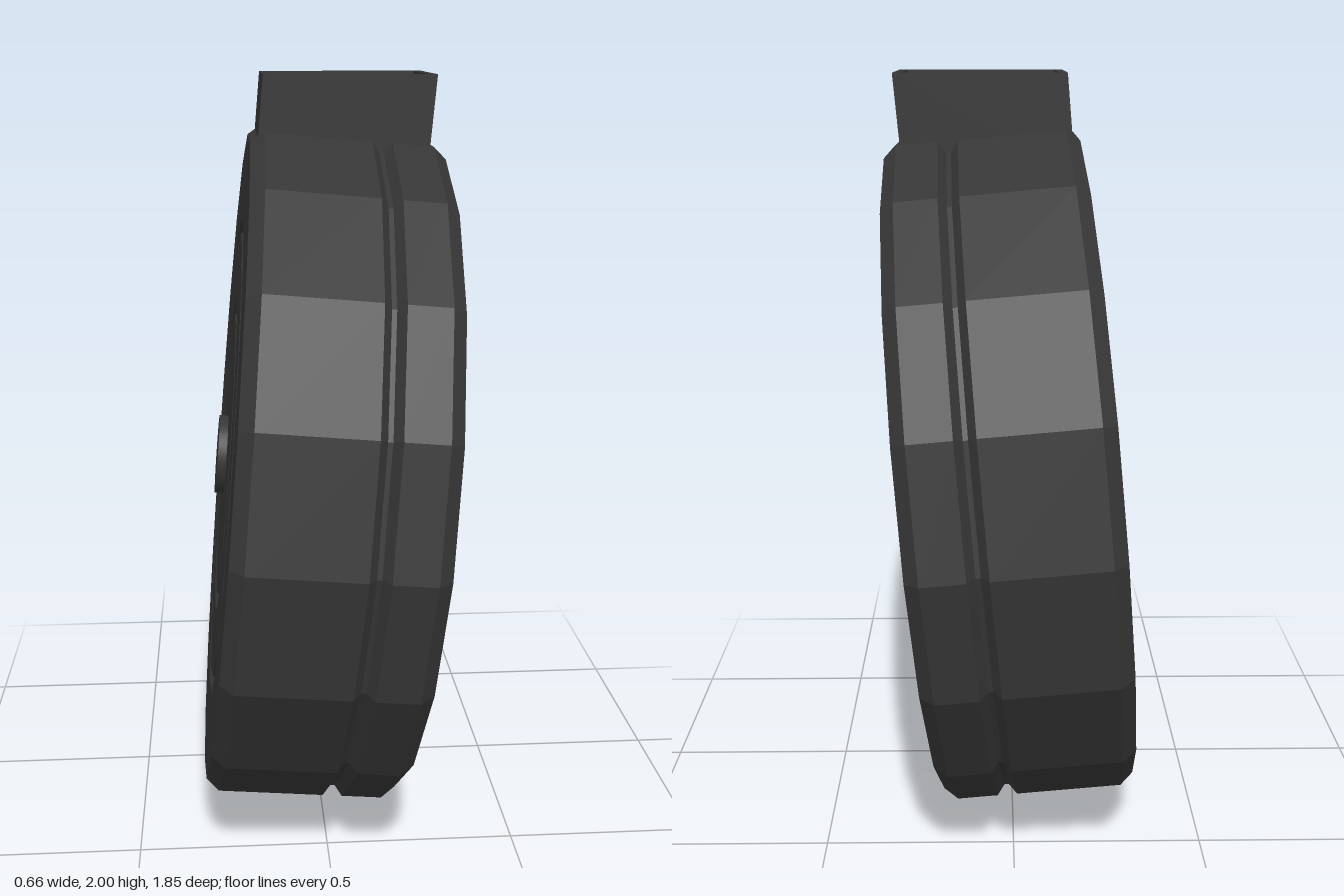
import * as THREE from 'three';

const TILT = THREE.MathUtils.degToRad(5);
const HALF = 0.254; // half thickness of the drum
const CENTRE_Y = 0.93;

export function createModel() {
  const model = new THREE.Group();
  model.name = 'drumMagazine';
  const darkMetal = new THREE.MeshStandardMaterial({ color: 0x363636 });
  darkMetal.name = 'darkMetal';

  const add = (parent, name, geometry) => {
    const mesh = new THREE.Mesh(geometry, darkMetal);
    mesh.name = name;
    parent.add(mesh);
    return mesh;
  };

  // Everything round leans together
  const drum = new THREE.Group();
  drum.name = 'drum';
  drum.position.y = CENTRE_Y;
  drum.rotation.z = -TILT;
  model.add(drum);

  // Faceted body: V-grooved faces, chamfered edges and a grooved rim
  const face = [
    [0, 0], [0.395, 0], [0.418, 0.025], [0.442, 0],
    [0.62, 0], [0.645, 0.025], [0.67, 0], [0.895, 0], [0.925, 0.035],
  ]; // radius, depth below the face
  const profile = [
    ...face.map(([r, d]) => [r, -HALF + d]),
    [0.925, 0.06], [0.898, 0.08], [0.898, 0.092], [0.925, 0.112],
    ...face.slice().reverse().map(([r, d]) => [r, HALF - d]),
  ].map(([r, y]) => new THREE.Vector2(r, y));
  const body = new THREE.LatheGeometry(profile, 18).toNonIndexed();
  body.computeVertexNormals();
  body.rotateZ(-Math.PI / 2);
  add(drum, 'drumBody', body);

  // Round hubs on both faces
  const hub = (name, radius, from, to) => {
    const g = new THREE.CylinderGeometry(radius, radius, Math.abs(to - from), 40);
    g.rotateZ(-Math.PI / 2);
    add(drum, name, g).position.x = (from + to) / 2;
  };
  hub('leftHub', 0.19, HALF - 0.02, HALF + 0.029);
  hub('leftHubButton', 0.065, HALF, HALF + 0.05);
  hub('rightHub', 0.11, -HALF + 0.02, -HALF - 0.024);

  // Open feed tower, leaning with the drum but cut level at the top
  const rect = (Type, x0, x1, z) => {
    const p = new Type();
    p.moveTo(x0, -z);
    p.lineTo(x1, -z);
    p.lineTo(x1, z);
    p.lineTo(x0, z);
    p.closePath();
    return p;
  };
  const lean = (g) => {
    const p = g.attributes.position;
    for (let i = 0; i < p.count; i++) {
      p.setX(i, p.getX(i) + (p.getY(i) - 2) * Math.tan(TILT));
    }
    g.computeVertexNormals();
    return g;
  };
  const prism = (shape, y0, y1) => {
    const g = new THREE.ExtrudeGeometry(shape, { depth: y1 - y0, bevelEnabled: false });
    g.rotateX(-Math.PI / 2);
    g.translate(0, y0, 0);
    return lean(g);
  };
  const wall = rect(THREE.Shape, -0.142, 0.304, 0.16);
  wall.holes.push(rect(THREE.Path, -0.12, 0.282, 0.138));
  add(model, 'feedTower', prism(wall, 1.76, 2));
  add(model, 'feedTowerFloor', prism(rect(THREE.Shape, -0.121, 0.283, 0.139), 1.78, 1.86));

  return model;
}
